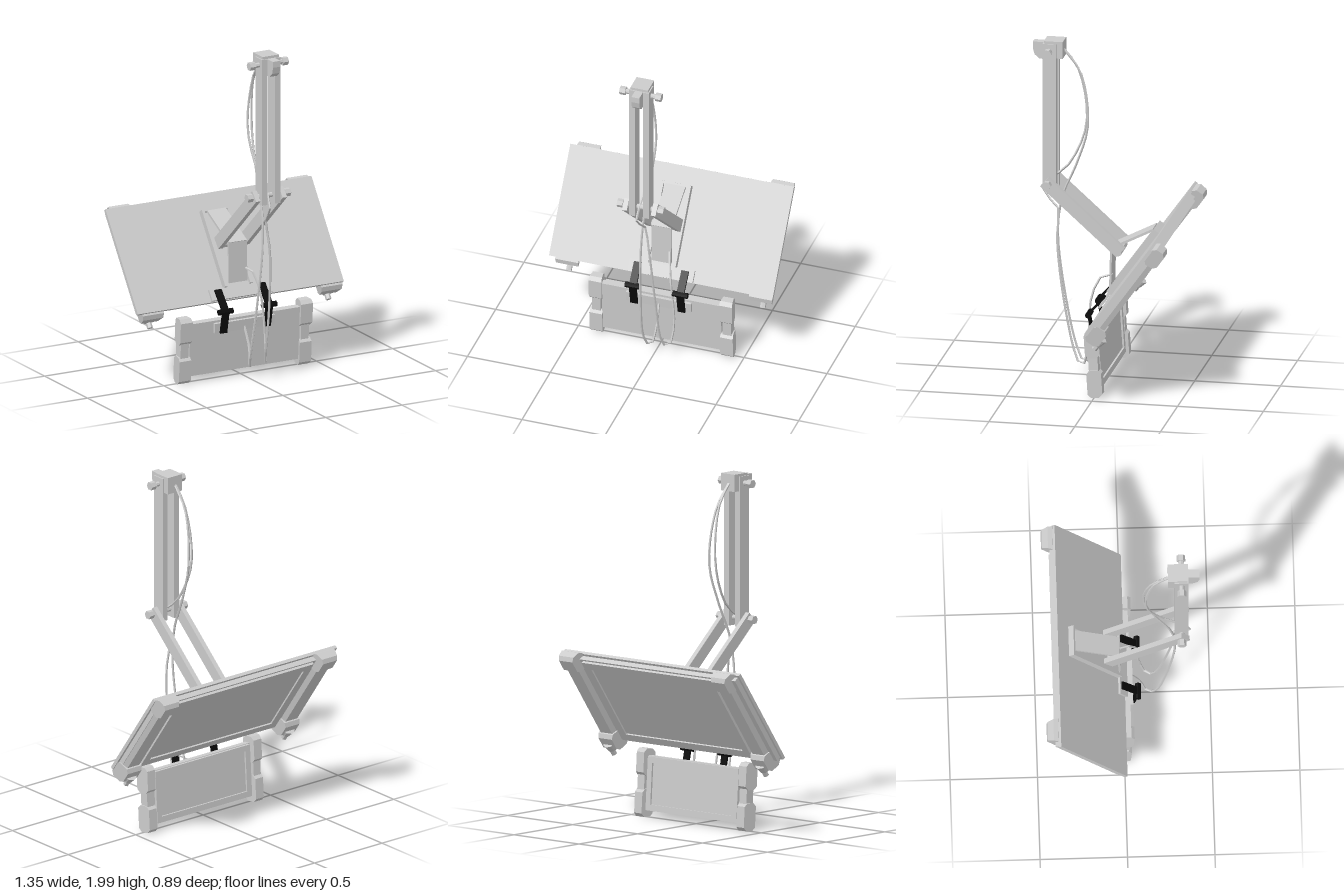
import * as THREE from 'three';

const grey = new THREE.MeshStandardMaterial({ color: 0xcccccc, flatShading: true, side: THREE.DoubleSide });
const smooth = new THREE.MeshStandardMaterial({ color: 0xcccccc, side: THREE.DoubleSide });
const black = new THREE.MeshStandardMaterial({ color: 0x0a0a0a, flatShading: true });

function add(parent, name, geometry, material = grey) {
  const mesh = new THREE.Mesh(geometry, material);
  mesh.name = name;
  parent.add(mesh);
  return mesh;
}

// Box given by its limits on each axis
function box([x0, x1], [y0, y1], [z0, z1]) {
  return new THREE.BoxGeometry(x1 - x0, y1 - y0, z1 - z0)
    .translate((x0 + x1) / 2, (y0 + y1) / 2, (z0 + z1) / 2);
}

// Side profile of [z, y] points extruded from x0 to x1
function prism(points, x0, x1) {
  const shape = new THREE.Shape(points.map(([z, y]) => new THREE.Vector2(z, y)));
  return new THREE.ExtrudeGeometry(shape, { depth: x1 - x0, bevelEnabled: false })
    .rotateY(-Math.PI / 2).translate(x1, 0, 0);
}

// Bar of constant width between two [z, y] points
function bar([za, ya], [zb, yb], width, x0, x1) {
  const l = Math.hypot(zb - za, yb - ya);
  const nz = -(yb - ya) / l * width / 2, ny = (zb - za) / l * width / 2;
  return prism([[za + nz, ya + ny], [zb + nz, yb + ny], [zb - nz, yb - ny], [za - nz, ya - ny]], x0, x1);
}

// Cylinder along x
function pin(r, x0, x1, y, z, sides = 8) {
  return new THREE.CylinderGeometry(r, r, x1 - x0, sides).rotateZ(Math.PI / 2)
    .translate((x0 + x1) / 2, y, z);
}

// Box whose back face and both ends are chamfered
function clamp(w, [y0, y1], [z0, z1], cut) {
  const g = prism([[z1, y0 + cut], [z1, y1 - cut], [z1 - cut, y1], [z0 + cut, y1],
    [z0, y1 - cut], [z0, y0 + cut], [z0 + cut, y0], [z1 - cut, y0]], -w / 2, w / 2);
  const p = g.attributes.position;
  for (let i = 0; i < p.count; i++) {
    const t = (z1 - p.getZ(i)) / (z1 - z0);
    p.setX(i, p.getX(i) * (1 - 0.27 * t));
  }
  g.computeVertexNormals();
  return g;
}

// Rectangular bezel around an opening with a recessed screen
function screen(parent, w, h, cx, cy, border, zFront, zBack) {
  const rect = (C, a, b) => new C([[-a, -b], [a, -b], [a, b], [-a, b]]
    .map(([x, y]) => new THREE.Vector2(cx + x, cy + y)));
  const shape = rect(THREE.Shape, w / 2, h / 2);
  shape.holes.push(rect(THREE.Path, w / 2 - border, h / 2 - border));
  add(parent, 'screenBezel', new THREE.ExtrudeGeometry(shape,
    { depth: zFront - zBack, bevelEnabled: false }).translate(0, 0, zBack));
  add(parent, 'screen', new THREE.PlaneGeometry(w - 2 * border, h - 2 * border)
    .rotateY(Math.PI).translate(cx, cy, zFront - 0.006), smooth);
}

export function createModel() {
  const model = new THREE.Group();
  model.name = 'articulatedDisplayMount';
  const cx = -0.007, shoulder = [0.337, 1.945], elbow = [0.337, 1.16];

  // Ceiling pivot
  const top = new THREE.Group();
  top.name = 'topPivot';
  model.add(top);
  add(top, 'pivotBlock', box([cx - 0.053, cx + 0.053], [1.9, 1.985], [0.26, 0.37]));
  add(top, 'pivotCap', box([cx - 0.053, cx + 0.053], [1.975, 2.0], [0.26, 0.37]));
  add(top, 'pivotTab', prism([[0.36, 1.885], [0.4, 1.885], [0.43, 1.91], [0.44, 1.95], [0.44, 1.985],
    [0.36, 1.985]], cx - 0.024, cx + 0.024));

  // Axles with nuts at both ends
  for (const [name, [z, y], half] of [['shoulderAxle', shoulder, 0.125], ['elbowAxle', elbow, 0.14]]) {
    add(model, name, pin(0.015, cx - half, cx + half, y, z));
    for (const s of [-1, 1]) {
      const a = cx + s * half, b = cx + s * (half - 0.035);
      add(model, name + 'Nut', pin(0.025, Math.min(a, b), Math.max(a, b), y, z, 6));
    }
  }

  // Paired arms
  for (const s of [-1, 1]) {
    const u = cx + s * 0.042, l = cx + s * 0.087;
    add(model, 'upperArm', bar([0.337, 1.985], [0.337, 1.115], 0.08, u - 0.018, u + 0.018));
    add(model, 'lowerArm', bar([0.358, 1.172], [-0.085, 0.775], 0.072, l - 0.0145, l + 0.0145));
  }

  // Large display: local y runs up the tilted face, local z out of it
  const display = new THREE.Group();
  display.name = 'mainDisplay';
  display.position.set(0, 0.46, 0.01);
  display.rotation.x = -0.622;
  model.add(display);
  add(display, 'frontPlate', box([-0.675, 0.675], [0, 0.65], [-0.02, 0]));
  add(display, 'displayBody', box([-0.66, 0.66], [0.015, 0.635], [-0.05, -0.02]));
  screen(display, 1.0, 0.6, 0.015, 0.325, 0.05, -0.05, -0.065);
  for (const x of [-0.57, 0.6]) {
    const rail = new THREE.Group();
    rail.name = 'displayRail';
    rail.position.x = x;
    display.add(rail);
    add(rail, 'railBar', clamp(0.12, [-0.01, 0.65], [-0.08, -0.04], 0.008));
    add(rail, 'topClamp', clamp(0.14, [0.56, 0.672], [-0.098, -0.015], 0.02));
    add(rail, 'bottomClamp', clamp(0.14, [-0.032, 0.08], [-0.108, -0.015], 0.02));
    add(rail, 'knobCollar', new THREE.CylinderGeometry(0.042, 0.03, 0.045, 8).translate(0, -0.008, -0.09));
    add(rail, 'knob', new THREE.CylinderGeometry(0.017, 0.017, 0.07, 6).translate(0, -0.028, -0.1));
  }

  // Bracket on the face of the large display
  const bracket = new THREE.Group();
  bracket.name = 'armBracket';
  model.add(bracket);
  const base = new THREE.Group();
  base.name = 'bracketFrame';
  base.position.copy(display.position);
  base.rotation.copy(display.rotation);
  bracket.add(base);
  add(base, 'bracketPlate', box([-0.095, 0.085], [0.07, 0.545], [0, 0.018]));
  for (const s of [-1, 1]) {
    const x = -0.005 + s * 0.082;
    add(base, 'bracketFlange', box([x - 0.008, x + 0.008], [0.07, 0.545], [0.018, 0.036]));
  }
  add(base, 'bracketTopLip', box([-0.095, 0.085], [0.53, 0.545], [0.018, 0.036]));
  add(bracket, 'bracketStrapTop', bar([-0.27, 0.912], [-0.02, 0.785], 0.014, -0.065, 0.055));
  add(bracket, 'bracketStrapFront', bar([-0.024, 0.79], [-0.018, 0.55], 0.012, -0.065, 0.055));
  add(bracket, 'bracketPin', pin(0.02, -0.1, 0.088, 0.77, -0.07));

  // Small display hanging below
  const small = new THREE.Group();
  small.name = 'lowerDisplay';
  small.position.set(0.0125, 0.203, 0.005);
  small.rotation.x = 0.067;
  model.add(small);
  add(small, 'lowerDisplayBody', box([-0.36, 0.36], [-0.158, 0.158], [-0.01, 0.025]));
  screen(small, 0.7, 0.31, 0, 0, 0.035, -0.01, -0.027);
  for (const s of [-1, 1]) {
    const rail = new THREE.Group();
    rail.name = 'lowerDisplayRail';
    rail.position.x = s * 0.394;
    small.add(rail);
    add(rail, 'railBar', box([-0.026, 0.026], [-0.17, 0.17], [-0.027, 0.028]));
    add(rail, 'topClamp', clamp(0.078, [0.04, 0.196], [-0.042, 0.042], 0.02));
    add(rail, 'bottomClamp', clamp(0.078, [-0.196, -0.035], [-0.042, 0.042], 0.02));
  }

  // Hinge between the displays
  const hinge = new THREE.Group();
  hinge.name = 'displayHinge';
  model.add(hinge);
  add(hinge, 'upperHingePlate', bar([-0.022, 0.526], [0.02, 0.47], 0.014, -0.195, 0.197));
  add(hinge, 'lowerHingePlate', bar([0.046, 0.345], [0.04, 0.285], 0.022, -0.195, 0.197));
  for (const s of [-1, 1]) {
    const x = s * 0.143;
    add(hinge, 'upperLink', bar([-0.005, 0.525], [0.09, 0.415], 0.012, x - 0.022, x + 0.022), black);
    add(hinge, 'lowerLink', bar([0.09, 0.425], [0.06, 0.285], 0.012, x - 0.022, x + 0.022), black);
    add(hinge, 'hingePin', pin(0.017, x - 0.046, x + 0.046, 0.418, 0.085), black);
  }

  // Hanging cables
  const cables = [
    [[-0.01, 1.95, 0.27], [-0.005, 1.81, 0.165], [0.01, 1.5, 0.12], [0.0, 1.26, 0.19], [-0.01, 1.07, 0.27],
      [-0.02, 0.86, 0.3], [-0.035, 0.5, 0.265], [-0.04, 0.15, 0.19], [-0.015, 0.07, 0.14],
      [0.005, 0.18, 0.1], [0.0, 0.32, 0.04]],
    [[-0.015, 1.95, 0.27], [-0.015, 1.83, 0.18], [-0.025, 1.5, 0.135], [-0.01, 1.25, 0.24], [-0.015, 1.15, 0.36],
      [-0.02, 1.07, 0.385], [0.0, 1.01, 0.3], [0.03, 0.8, 0.295], [0.05, 0.45, 0.25], [0.065, 0.14, 0.18],
      [0.09, 0.08, 0.14], [0.11, 0.2, 0.1], [0.085, 0.5, 0.085], [0.06, 0.62, 0.03], [0.04, 0.63, -0.03]],
  ];
  for (const points of cables) {
    const curve = new THREE.CatmullRomCurve3(points.map(p => new THREE.Vector3(...p)));
    add(model, 'cable', new THREE.TubeGeometry(curve, 36, 0.007, 5));
  }
  return model;
}
